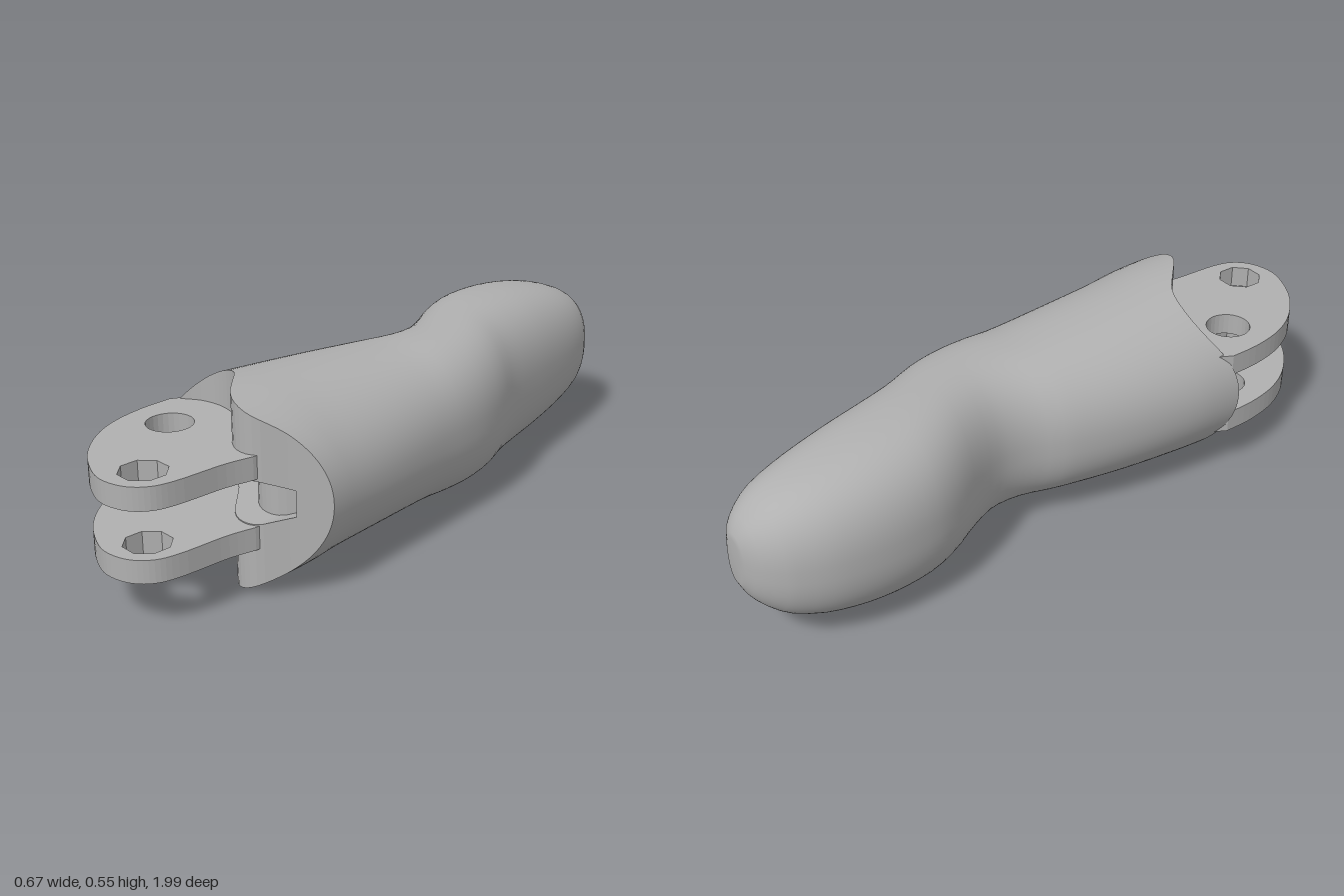
import * as THREE from 'three';

const MID = 0.28; // height of the centre line

// Smooth interpolation through rows sorted by their first value
function sample(rows, t, col) {
  const n = rows.length;
  t = Math.min(Math.max(t, rows[0][0]), rows[n - 1][0]);
  let i = 0;
  while (i < n - 2 && t > rows[i + 1][0]) i++;
  const slope = (k) => {
    const a = rows[Math.max(k - 1, 0)], b = rows[Math.min(k + 1, n - 1)];
    return (b[col] - a[col]) / (b[0] - a[0]);
  };
  const h = rows[i + 1][0] - rows[i][0], u = (t - rows[i][0]) / h;
  const u2 = u * u, u3 = u2 * u;
  return rows[i][col] * (2 * u3 - 3 * u2 + 1) + rows[i + 1][col] * (3 * u2 - 2 * u3)
    + slope(i) * h * (u3 - 2 * u2 + u) + slope(i + 1) * h * (u3 - u2);
}

// Finger sections: z, right edge, left edge, half height
const SECTIONS = [
  [-1, -0.165, -0.09, 0.07], [-0.985, -0.205, -0.055, 0.105], [-0.95, -0.25, -0.02, 0.145],
  [-0.9, -0.288, 0.01, 0.18], [-0.8, -0.325, 0.045, 0.213], [-0.65, -0.338, 0.087, 0.238],
  [-0.5, -0.32, 0.127, 0.248], [-0.4, -0.28, 0.158, 0.248], [-0.3, -0.222, 0.203, 0.245],
  [-0.2, -0.183, 0.234, 0.241], [-0.1, -0.19, 0.252, 0.239], [0, -0.23, 0.265, 0.238],
  [0.2, -0.275, 0.295, 0.248], [0.4, -0.298, 0.321, 0.262], [0.5, -0.3, 0.336, 0.27], [0.65, -0.3, 0.338, 0.28],
];

// Wavy cut across the knuckle end: x, z
const CUT = [
  [-0.3, 0.565], [-0.25, 0.52], [-0.2, 0.49], [-0.13, 0.48], [-0.05, 0.5], [0.02, 0.56],
  [0.08, 0.615], [0.13, 0.638], [0.18, 0.63], [0.25, 0.565], [0.336, 0.49],
];
const cutZ = (x) => sample(CUT, x, 1);

function sectionPoint(z, a) {
  const l = sample(SECTIONS, z, 1), r = sample(SECTIONS, z, 2), h = sample(SECTIONS, z, 3);
  const p = 2 / (z < -0.3 ? 2.4 : 2.4 - 0.35 * Math.min(1, (z + 0.3) / 0.7));
  const pow = (v) => Math.sign(v) * Math.abs(v) ** p;
  return [(l + r) / 2 + (r - l) / 2 * pow(Math.cos(a)), MID + h * pow(Math.sin(a)), z];
}

const SIDES = 96;
const angle = (i) => (i / SIDES) * Math.PI * 2;

// Point on the rim where the finger meets the cut
function rimPoint(i) {
  let z = 0.55;
  for (let k = 0; k < 8; k++) z = cutZ(sectionPoint(z, angle(i))[0]);
  return sectionPoint(z, angle(i));
}

function fingerGeometry() {
  const pos = [], index = [], levels = [-1, -0.995, -0.985, -0.97, -0.95, -0.925];
  for (let z = -0.9; z < 0.21; z += 0.04) levels.push(z);
  const base = levels[levels.length - 1], extra = 8;
  const rows = levels.length + extra;
  const ends = Array.from({ length: SIDES }, (_, i) => rimPoint(i)[2]);
  for (let r = 0; r < rows; r++) {
    for (let i = 0; i < SIDES; i++) {
      const u = (r - levels.length + 1) / extra;
      pos.push(...sectionPoint(r < levels.length ? levels[r] : base + u * (ends[i] - base), angle(i)));
    }
  }
  for (let r = 0; r < rows - 1; r++) {
    for (let i = 0; i < SIDES; i++) {
      const j = (i + 1) % SIDES;
      const a = r * SIDES + i, b = r * SIDES + j, c = b + SIDES, d = a + SIDES;
      index.push(a, b, c, a, c, d);
    }
  }
  // close the fingertip
  const tip = pos.length / 3;
  pos.push(-0.128, MID, -1);
  for (let i = 0; i < SIDES; i++) index.push(tip, (i + 1) % SIDES, i);
  const g = new THREE.BufferGeometry();
  g.setAttribute('position', new THREE.Float32BufferAttribute(pos, 3));
  g.setIndex(index);
  g.computeVertexNormals();
  return g;
}

// Knuckle end face, with a slot that widens the gap between the lugs
function knuckleGeometry() {
  const pos = [];
  const quad = (a, b, c, d) => pos.push(...a, ...b, ...c, ...a, ...c, ...d);
  const inSlot = (x) => x > -0.275 && x < 0.27;
  const slotHalf = (x) => (x < 0.19 ? 0.062 : 0.062 - (x - 0.19) * 0.35);
  const depth = 0.08;
  const column = (i) => {
    const [x, y, z] = rimPoint(i);
    return { x, z, h: y - MID, s: slotHalf(x), open: inSlot(x) };
  };
  const at = (c, y, back = 0) => [c.x, MID + y, c.z - back];
  for (let i = 0; i < SIDES / 2; i++) {
    const R = column(i), L = column(i + 1);
    if (!(L.open && R.open)) {
      quad(at(L, -L.h), at(R, -R.h), at(R, R.h), at(L, L.h));
      // slot end wall
      if (L.open) quad(at(L, -L.s), at(L, -L.s, depth), at(L, L.s, depth), at(L, L.s));
      if (R.open) quad(at(R, -R.s, depth), at(R, -R.s), at(R, R.s), at(R, R.s, depth));
      continue;
    }
    quad(at(L, L.s), at(R, R.s), at(R, R.h), at(L, L.h));
    quad(at(L, -L.h), at(R, -R.h), at(R, -R.s), at(L, -L.s));
    // slot floor, roof and back
    quad(at(L, -L.s), at(R, -R.s), at(R, -R.s, depth), at(L, -L.s, depth));
    quad(at(L, L.s, depth), at(R, R.s, depth), at(R, R.s), at(L, L.s));
    quad(at(L, -L.s, depth), at(R, -R.s, depth), at(R, R.s, depth), at(L, L.s, depth));
  }
  const g = new THREE.BufferGeometry();
  g.setAttribute('position', new THREE.Float32BufferAttribute(pos, 3));
  g.computeVertexNormals();
  return g;
}

// Flat lug with a round pin hole and an eight-sided one
function lugGeometry(thickness) {
  const v = (x, z) => new THREE.Vector2(x, z);
  const shape = new THREE.Shape();
  shape.moveTo(0.19, 0.6);
  shape.lineTo(0.19, 0.635);
  shape.splineThru([
    v(0.176, 0.72), v(0.172, 0.86), v(0.155, 0.93), v(0.11, 0.975), v(0.04, 0.992), v(-0.03, 0.975),
    v(-0.12, 0.925), v(-0.2, 0.845), v(-0.25, 0.755), v(-0.275, 0.65), v(-0.28, 0.55),
  ]);
  for (const [x, z] of [[-0.25, 0.49], [-0.2, 0.45], [-0.05, 0.45], [0.08, 0.57]]) shape.lineTo(x, z);
  shape.closePath();
  for (const [x, z, r, n] of [[-0.14, 0.652, 0.066, 28], [0.066, 0.885, 0.066, 8]]) {
    const pts = [];
    for (let i = 0; i < n; i++) {
      const a = ((i + 0.5) / n) * Math.PI * 2;
      pts.push(v(x + r * Math.cos(a), z + r * Math.sin(a)));
    }
    shape.holes.push(new THREE.Path(pts));
  }
  const g = new THREE.ExtrudeGeometry(shape, { depth: thickness, bevelEnabled: false, curveSegments: 4 });
  return g.rotateX(Math.PI / 2);
}

export function createModel() {
  const grey = new THREE.MeshStandardMaterial({ color: 0xb0b0b0, side: THREE.DoubleSide });
  grey.name = 'plain grey';
  const model = new THREE.Group();
  model.name = 'jointedFinger';
  const add = (name, geometry, y = 0) => {
    const mesh = new THREE.Mesh(geometry, grey);
    mesh.name = name;
    mesh.position.y = y;
    model.add(mesh);
  };
  add('fingerBody', fingerGeometry());
  add('knuckleFace', knuckleGeometry());
  add('upperLug', lugGeometry(0.066), 0.415);
  add('lowerLug', lugGeometry(0.066), 0.215);
  return model;
}
